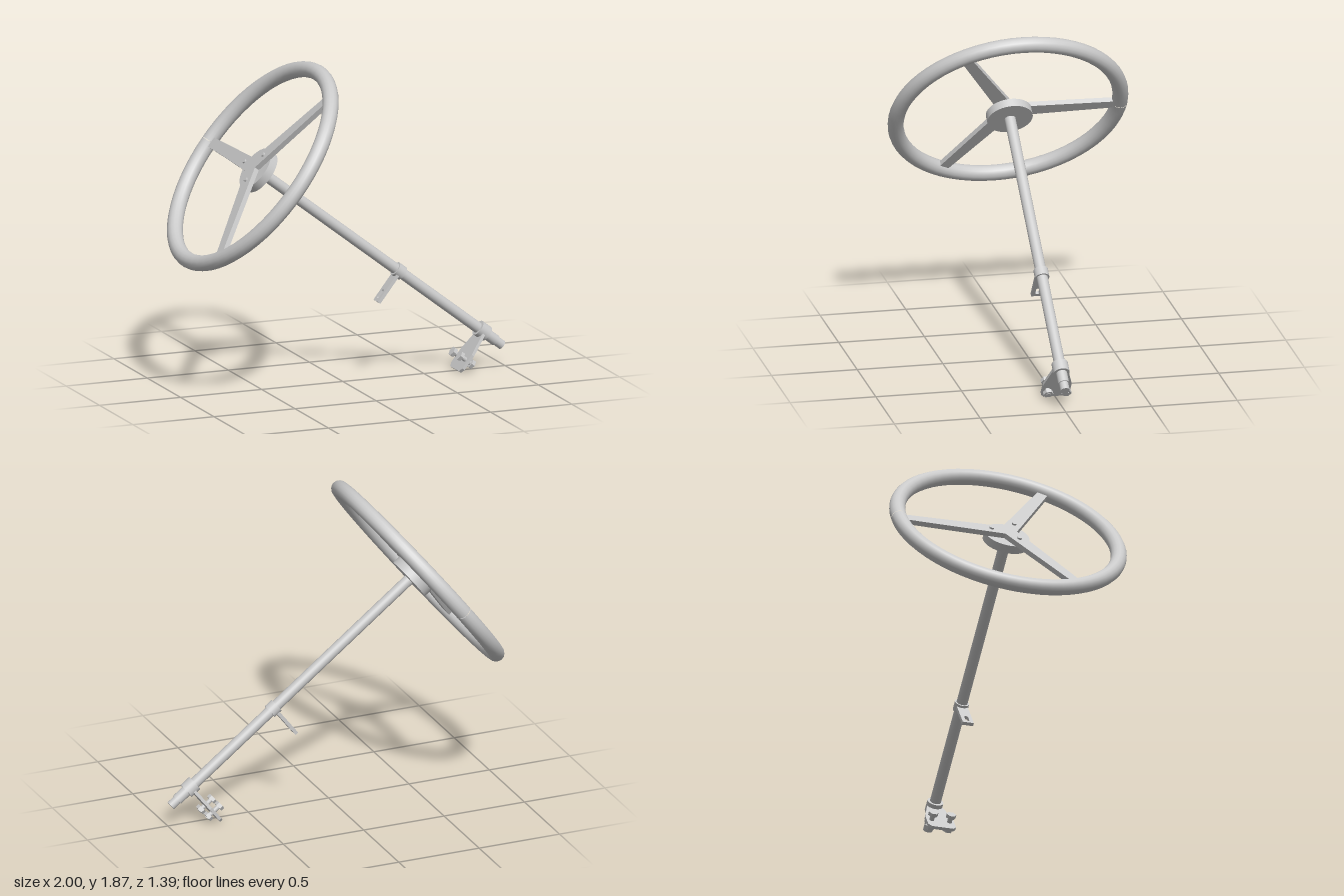
import * as THREE from 'three';

export function createModel() {
  const model = new THREE.Group();
  model.name = 'steeringColumn';
  const steel = new THREE.MeshStandardMaterial({ color: 0xcacaca });
  steel.name = 'light grey steel';

  // Local frame: wheel centre at the origin, column running down -y,
  // brackets pointing to -x. The whole assembly is then tilted.
  const column = new THREE.Group();
  column.name = 'tiltedAssembly';
  column.position.set(-0.555, 1.32, 0);
  column.rotation.z = Math.atan2(0.79, 0.613);
  model.add(column);

  const add = (name, geometry) => {
    const mesh = new THREE.Mesh(geometry, steel);
    mesh.name = name;
    column.add(mesh);
  };
  // Cylinder spanning two distances down the column
  const rod = (name, r, from, to, x = 0, z = 0, sides = 24) => {
    const g = new THREE.CylinderGeometry(r, r, to - from, sides);
    const faceted = sides <= 8 ? g.toNonIndexed() : g;
    if (sides <= 8) faceted.computeVertexNormals();
    add(name, faceted.translate(x, -(from + to) / 2, z));
  };
  // Flat plate outlined in local x/z, spanning two distances down the column
  const plate = (name, shape, from, to) => {
    const g = new THREE.ExtrudeGeometry(shape, { depth: to - from, bevelEnabled: false, curveSegments: 12 });
    add(name, g.rotateX(Math.PI / 2).translate(0, -from, 0));
  };
  const outline = (points) => new THREE.Shape(points.map(([x, y]) => new THREE.Vector2(x, y)));

  // Wheel rim with a hairline seam at the -z spoke
  const rim = new THREE.TorusGeometry(0.65, 0.046, 16, 64, Math.PI * 2 - 0.005);
  add('rim', rim.rotateZ(-Math.PI / 2).rotateX(Math.PI / 2));

  // Three tapered spokes cut from one plate, with a screw at each root
  const spider = [];
  for (let i = 0; i < 3; i++) {
    const a = -Math.PI / 2 + (i * Math.PI * 2) / 3;
    const c = Math.cos(a), s = Math.sin(a);
    const at = (r, w) => [c * r - s * w, s * r + c * w];
    spider.push(at(0.026, -0.045), at(0.625, -0.03), at(0.625, 0.03));
    const [x, z] = at(0.1, 0);
    rod('spokeScrew', 0.013, -0.02, 0.02, x, z, 16);
  }
  plate('spokes', outline(spider), -0.01, 0.02);

  // Hub disc and shaft
  rod('hubDisc', 0.132, 0.02, 0.07, 0, 0, 40);
  rod('shaft', 0.032, 0.05, 1.895);
  rod('shaftTip', 0.027, 1.88, 1.945, 0, 0, 16);

  // Middle collar with its slotted tab
  rod('middleCollar', 0.042, 1.112, 1.165);
  const tab = outline([[-0.025, -0.033], [-0.025, 0.033], [-0.215, 0.033], [-0.215, -0.033]]);
  const slot = new THREE.Path();
  slot.absarc(-0.15, 0, 0.012, -Math.PI / 2, Math.PI / 2, false);
  slot.absarc(-0.185, 0, 0.012, Math.PI / 2, Math.PI * 1.5, false);
  tab.holes.push(slot);
  plate('middleTab', tab, 1.126, 1.146);

  // Lower collar with its flared mounting plate
  rod('lowerCollar', 0.047, 1.757, 1.823);
  plate('mountingPlate', outline([
    [0, -0.042], [0, 0.042], [-0.15, 0.083], [-0.245, 0.083],
    [-0.268, 0.065], [-0.268, -0.065], [-0.245, -0.083], [-0.15, -0.083],
  ]), 1.782, 1.8);

  // Mounting bolts with a hexagonal head and nut
  for (const z of [-0.053, 0.053]) {
    rod('boltStem', 0.014, 1.73, 1.842, -0.192, z, 16);
    rod('boltHead', 0.029, 1.73, 1.752, -0.192, z, 6);
    rod('boltNut', 0.029, 1.816, 1.838, -0.192, z, 6);
  }
  return model;
}
